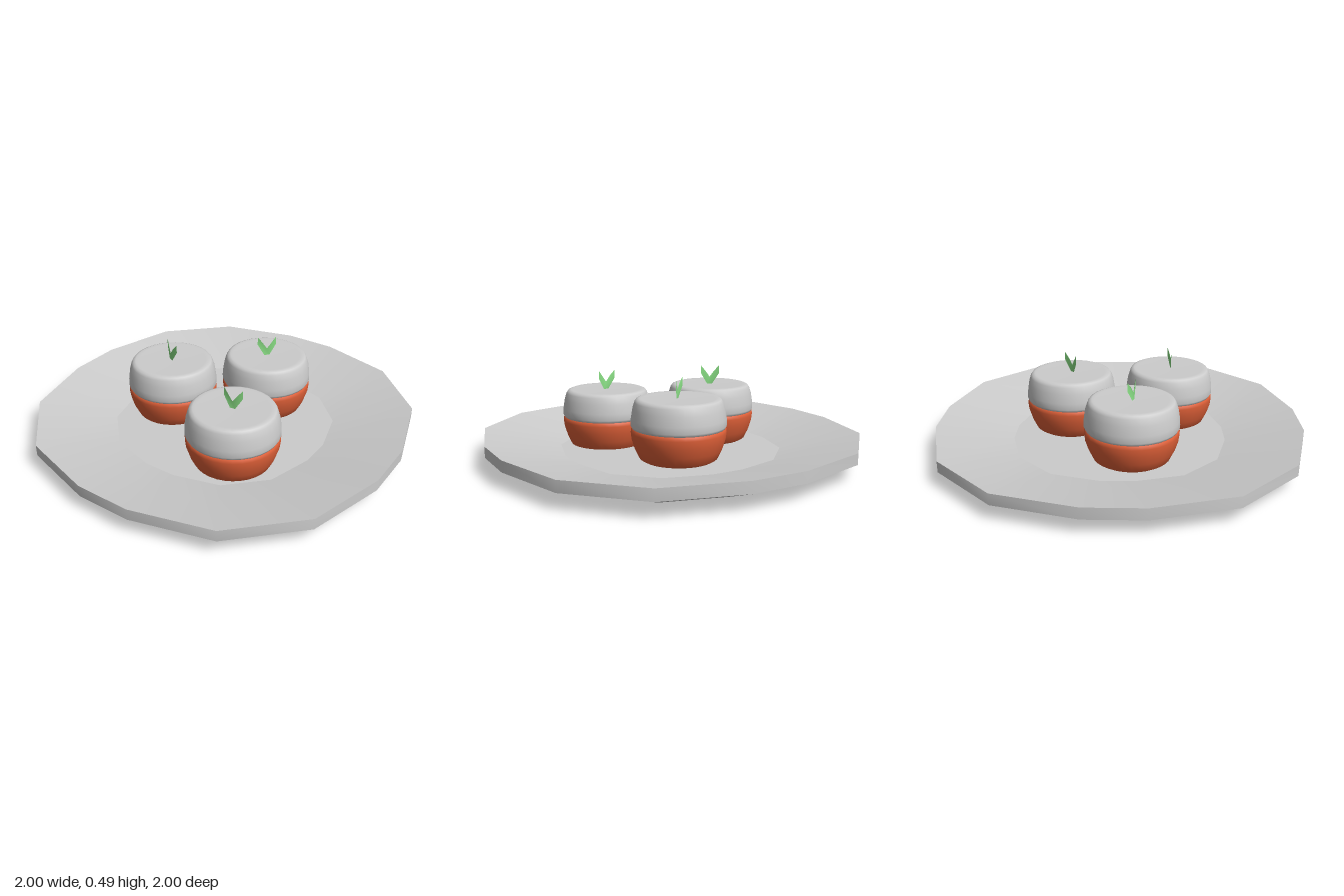
import * as THREE from 'three';
import { mergeGeometries } from 'three/addons/utils/BufferGeometryUtils.js';

const mat = (color, side = THREE.FrontSide) => new THREE.MeshStandardMaterial({ color, side });

function addMesh(parent, name, geometry, material) {
  const mesh = new THREE.Mesh(geometry, material);
  mesh.name = name;
  parent.add(mesh);
  return mesh;
}

// Sixteen-sided plate outline, one quadrant turned four times
function plateOutline() {
  const quadrant = [[1, 0.15], [0.885, 0.57], [0.57, 0.885], [0.15, 1]];
  const points = [];
  for (let q = 0; q < 4; q++) {
    for (const [x, z] of quadrant) {
      points.push(new THREE.Vector2(x, z).rotateAround(new THREE.Vector2(), q * Math.PI / 2));
    }
  }
  return points;
}

// Band between two scaled outlines: smooth around, sharp at its edges
function band(outline, [scaleA, yA], [scaleB, yB]) {
  const n = outline.length, positions = [], index = [];
  for (const [s, y] of [[scaleA, yA], [scaleB, yB]]) {
    for (const p of outline) positions.push(p.x * s, y, p.y * s);
  }
  for (let i = 0; i < n; i++) {
    const j = (i + 1) % n;
    if (scaleA > 0) index.push(i, j, n + i);
    if (scaleB > 0) index.push(j, n + j, n + i);
  }
  const g = new THREE.BufferGeometry();
  g.setAttribute('position', new THREE.Float32BufferAttribute(positions, 3));
  g.setIndex(index);
  g.computeVertexNormals();
  return g;
}

function plateGeometry() {
  // floor, sloping top, rim, underside, foot ring, recessed base
  const profile = [[0, 0.055], [0.585, 0.055], [1, 0.145], [1, 0.085],
    [0.77, 0], [0.67, 0], [0.56, 0.02], [0, 0.02]];
  const outline = plateOutline();
  return mergeGeometries(profile.slice(1).map((p, i) => band(outline, profile[i], p)));
}

const lathe = (profile) =>
  new THREE.LatheGeometry(profile.map(([r, y]) => new THREE.Vector2(r, y)), 32);

// Two-bladed sprig, gently bent
function sprigGeometry() {
  const shape = new THREE.Shape();
  const half = [[0.014, 0], [0.052, 0.062], [0.052, 0.108], [0.024, 0.075], [0, 0.042]];
  shape.moveTo(-0.014, 0);
  half.forEach(([x, y]) => shape.lineTo(x, y));
  half.slice(0, -1).reverse().forEach(([x, y]) => shape.lineTo(-x, y));
  const g = new THREE.ShapeGeometry(shape);
  const p = g.attributes.position;
  for (let i = 0; i < p.count; i++) p.setZ(i, 0.008 - 4 * p.getX(i) ** 2);
  g.computeVertexNormals();
  return g;
}

export function createModel() {
  const model = new THREE.Group();
  const grey = mat(0xcccccc);
  const orange = mat(0xdf6038);
  const green = mat(0x8be086, THREE.DoubleSide);

  addMesh(model, 'plate', plateGeometry(), grey);

  // Heights are measured from the underside of each cake
  const baseGeometry = lathe([[0, 0], [0.185, 0], [0.205, 0.012], [0.228, 0.06],
    [0.244, 0.11], [0.249, 0.15], [0.246, 0.168], [0.235, 0.177], [0, 0.177]]);
  const toppingGeometry = lathe([[0, 0.165], [0.225, 0.165], [0.242, 0.17], [0.25, 0.185],
    [0.248, 0.22], [0.24, 0.27], [0.229, 0.305], [0.22, 0.318], [0.205, 0.324],
    [0.19, 0.321], [0, 0.32]]);
  const leafGeometry = sprigGeometry();

  // x, underside y, z, sprig turn
  const cakes = [
    [0.25, 0.04, 0.285, 0.15],
    [-0.31, 0.056, 0.07, -0.4],
    [0.1, 0.062, -0.275, 0.72],
  ];
  for (const [x, y, z, turn] of cakes) {
    const cake = new THREE.Group();
    cake.name = 'cake';
    cake.position.set(x, y, z);
    addMesh(cake, 'cakeBase', baseGeometry, orange);
    addMesh(cake, 'cakeTopping', toppingGeometry, grey);
    const sprig = addMesh(cake, 'leafSprig', leafGeometry, green);
    sprig.position.y = 0.319;
    sprig.rotation.y = turn;
    model.add(cake);
  }
  return model;
}
